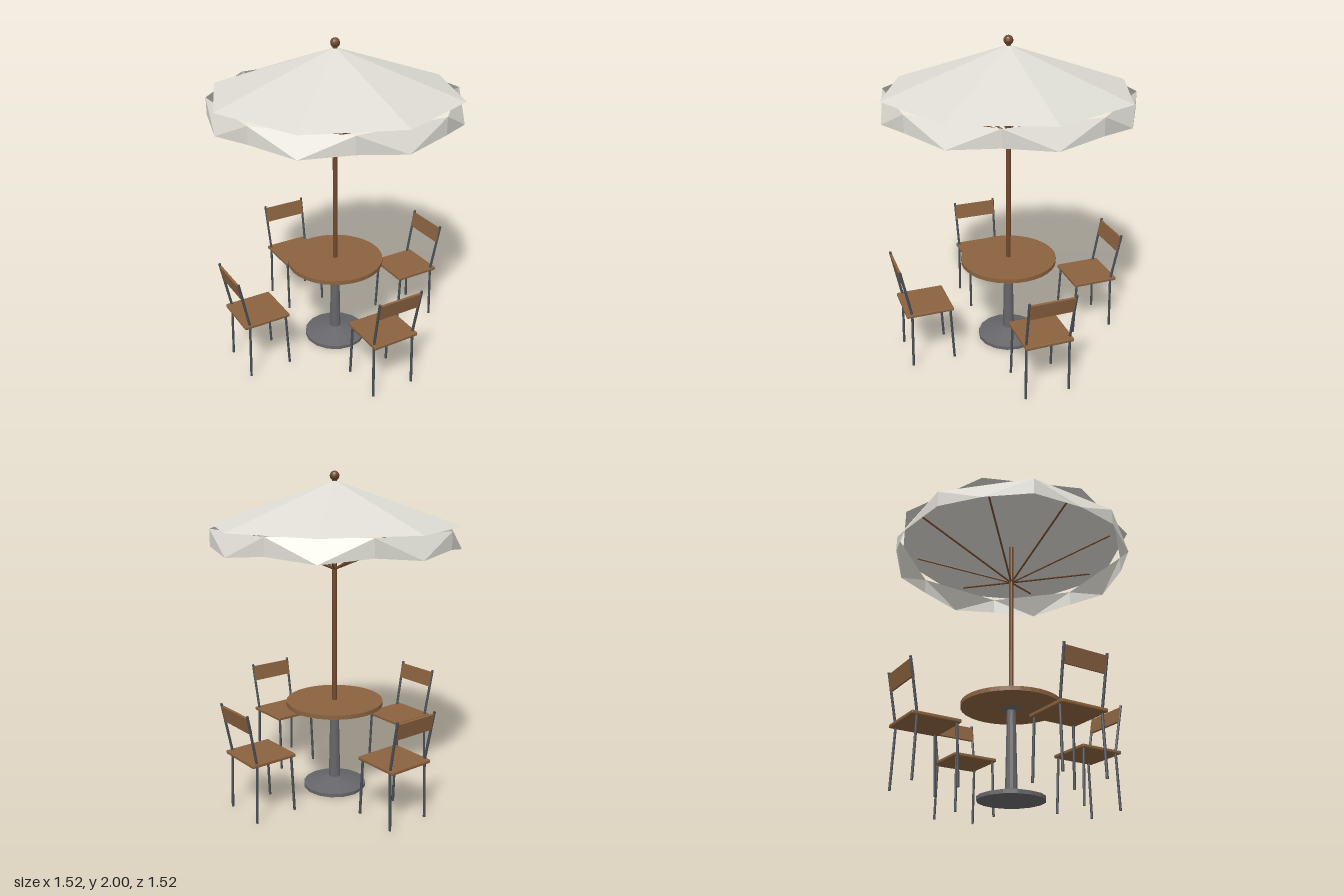
import * as THREE from 'three';
import { RoundedBoxGeometry } from 'three/addons/geometries/RoundedBoxGeometry.js';

const material = (name, color, options = {}) => {
  const m = new THREE.MeshStandardMaterial({ color, ...options });
  m.name = name;
  return m;
};

export function createModel() {
  const canvas = material('offWhiteCanvas', 0xdddbd3, { flatShading: true, side: THREE.DoubleSide });
  const wood = material('wood', 0x8a623f, { flatShading: true });
  const darkWood = material('darkWood', 0x70492d, { flatShading: true });
  const iron = material('greyIron', 0x66666a, { flatShading: true });
  const steel = material('darkSteel', 0x4a5056);

  const model = new THREE.Group();
  model.name = 'patioTableSet';

  const add = (parent, name, geometry, mat, x = 0, y = 0, z = 0) => {
    const mesh = new THREE.Mesh(geometry, mat);
    mesh.name = name;
    mesh.position.set(x, y, z);
    parent.add(mesh);
    return mesh;
  };

  // Straight round bar between two points
  const bar = (parent, name, a, b, radius, mat) => {
    const from = new THREE.Vector3(...a), to = new THREE.Vector3(...b);
    const dir = to.clone().sub(from);
    const mesh = add(parent, name, new THREE.CylinderGeometry(radius, radius, dir.length(), 8), mat);
    mesh.position.copy(from).addScaledVector(dir, 0.5);
    mesh.quaternion.setFromUnitVectors(new THREE.Vector3(0, 1, 0), dir.normalize());
    return mesh;
  };

  // Table: iron foot, tapered column, collar and round top
  const table = new THREE.Group();
  table.name = 'table';
  model.add(table);
  const foot = [[0, 0], [0.2, 0], [0.2, 0.022], [0.045, 0.065], [0, 0.065]];
  add(table, 'tableFoot', new THREE.LatheGeometry(foot.map(p => new THREE.Vector2(...p)), 16), iron);
  add(table, 'tableColumn', new THREE.CylinderGeometry(0.027, 0.037, 0.485, 12), iron, 0, 0.3025);
  add(table, 'tableCollar', new THREE.CylinderGeometry(0.06, 0.03, 0.015, 12), iron, 0, 0.5475);
  add(table, 'tableTop', new THREE.CylinderGeometry(0.305, 0.305, 0.026, 32), wood, 0, 0.568);

  // Parasol: pole, finial, canopy and ribs
  const parasol = new THREE.Group();
  parasol.name = 'parasol';
  model.add(parasol);
  add(parasol, 'pole', new THREE.CylinderGeometry(0.015, 0.015, 1.38, 12), darkWood, 0, 1.26);
  add(parasol, 'finial', new THREE.SphereGeometry(0.029, 10, 8), darkWood, 0, 1.971);
  add(parasol, 'canopy', new THREE.ConeGeometry(0.76, 0.265, 8), canvas, 0, 1.8125);
  for (let i = 0; i < 8; i++) {
    const a = i * Math.PI / 4;
    bar(parasol, 'rib', [0, 1.415, 0], [0.65 * Math.sin(a), 1.682, 0.65 * Math.cos(a)], 0.006, darkWood);
  }

  // Valance: eight panels, each with its hem drawn down and out in the middle
  const points = [];
  const at = (angle, r, y) => [r * Math.sin(angle), y, r * Math.cos(angle)];
  for (let i = 0; i < 8; i++) {
    const mid = i * Math.PI / 4, half = Math.PI / 8;
    const topA = at(mid - half, 0.747, 1.68), topB = at(mid + half, 0.747, 1.68);
    const hemA = at(mid - half, 0.747, 1.577), hemB = at(mid + half, 0.747, 1.577);
    const tip = at(mid, 0.76, 1.547);
    points.push(...topA, ...tip, ...topB, ...topA, ...hemA, ...tip, ...topB, ...tip, ...hemB);
  }
  const valance = new THREE.BufferGeometry();
  valance.setAttribute('position', new THREE.Float32BufferAttribute(points, 3));
  valance.computeVertexNormals();
  add(parasol, 'valance', valance, canvas);

  // Four chairs on the diagonals, each facing the table (local +z points outward)
  for (let i = 0; i < 4; i++) {
    const chair = new THREE.Group();
    chair.name = 'chair';
    chair.rotation.y = Math.PI / 4 + i * Math.PI / 2;
    model.add(chair);
    add(chair, 'seat', new RoundedBoxGeometry(0.3, 0.022, 0.298, 1, 0.006), wood, 0, 0.359, 0.561);
    const back = add(chair, 'backrest', new THREE.BoxGeometry(0.29, 0.1, 0.014), wood, 0, 0.609, 0.722);
    back.rotation.x = 0.2;
    for (const s of [-1, 1]) {
      bar(chair, 'frontLeg', [s * 0.134, 0, 0.415], [s * 0.13, 0.352, 0.432], 0.008, steel);
      bar(chair, 'backLeg', [s * 0.138, 0, 0.684], [s * 0.136, 0.36, 0.674], 0.008, steel);
      bar(chair, 'backPost', [s * 0.136, 0.352, 0.673], [s * 0.143, 0.672, 0.735], 0.008, steel);
    }
  }

  return model;
}
